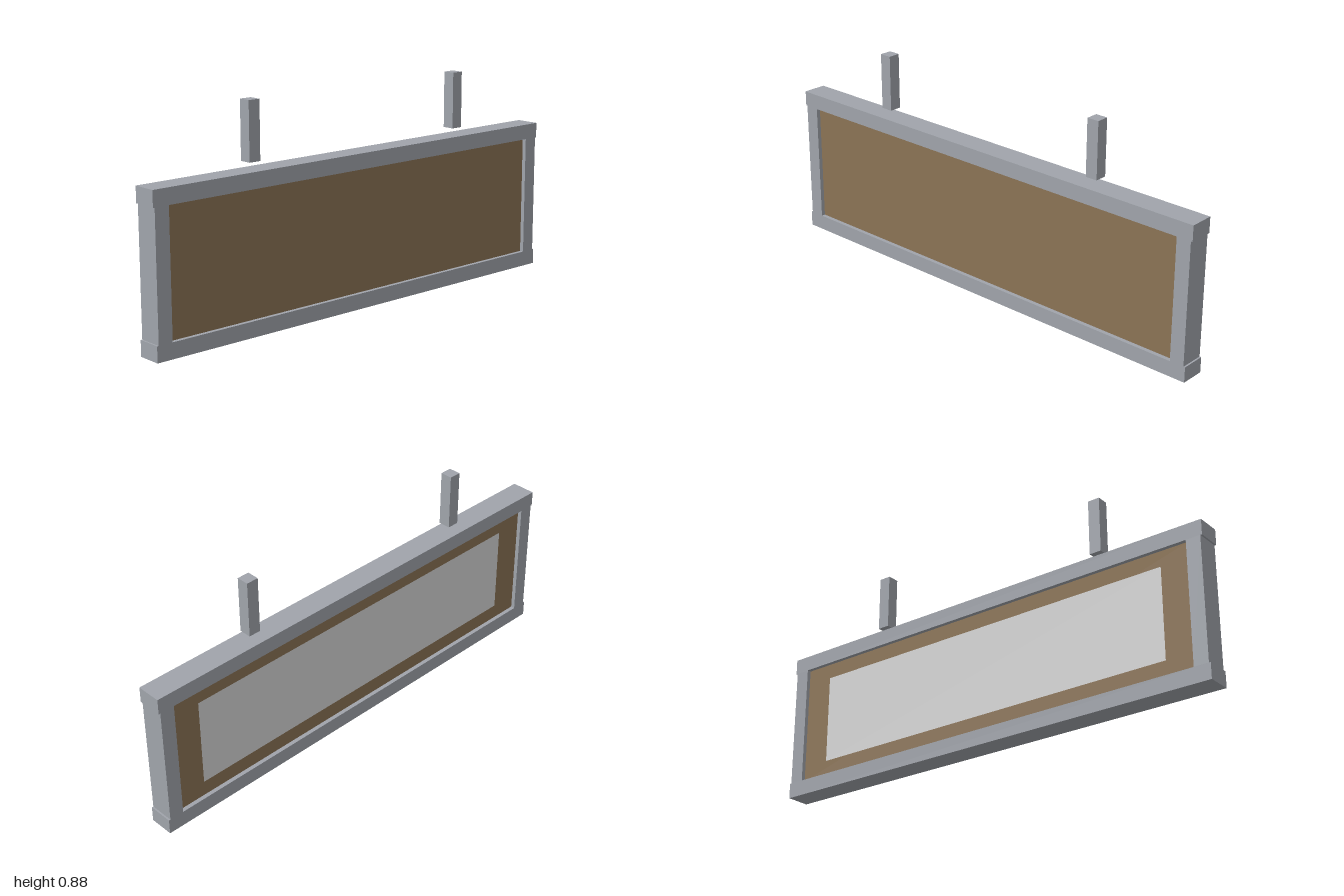
import * as THREE from 'three';

export function createModel() {
  const model = new THREE.Group();
  model.name = 'hangingSign';

  const material = (name, color) => {
    const m = new THREE.MeshStandardMaterial({ color });
    m.name = name;
    return m;
  };
  const metal = material('greyMetal', 0xa0a4ab);
  const wood = material('brownWood', 0x8b7355);
  const pale = material('paleGrey', 0xd6d6d6);

  // Box given by its size and centre
  const box = (name, mat, [w, h, d], [x, y, z]) => {
    const mesh = new THREE.Mesh(new THREE.BoxGeometry(w, h, d), mat);
    mesh.name = name;
    mesh.position.set(x, y, z);
    model.add(mesh);
    return mesh;
  };

  const height = 0.622, rail = 0.063, depth = 0.1;
  const middle = height / 2;
  const boardDepth = 0.066;

  // Frame: full-width rails, with side stiles set in slightly between them
  box('bottomRail', metal, [2, rail, depth], [0, rail / 2, 0]);
  box('topRail', metal, [2, rail, depth], [0, height - rail / 2, 0]);
  for (const [side, s] of [['left', 1], ['right', -1]]) {
    box(side + 'Stile', metal, [0.06, height - 2 * rail, depth], [s * 0.963, middle, 0]);
    // Hanger posts float just above the top rail
    box(side + 'HangerPost', metal, [0.05, 0.229, 0.05], [s * 0.53, 0.7675, 0]);
  }

  // Recessed board
  box('board', wood, [1.867, height - 2 * rail, boardDepth], [0, middle, 0]);

  // Blank plate on the back of the board
  const plate = new THREE.Mesh(new THREE.PlaneGeometry(1.63, 0.37), pale);
  plate.name = 'backPlate';
  plate.rotation.y = Math.PI;
  plate.position.set(0, middle, -boardDepth / 2 - 0.001);
  model.add(plate);

  return model;
}
